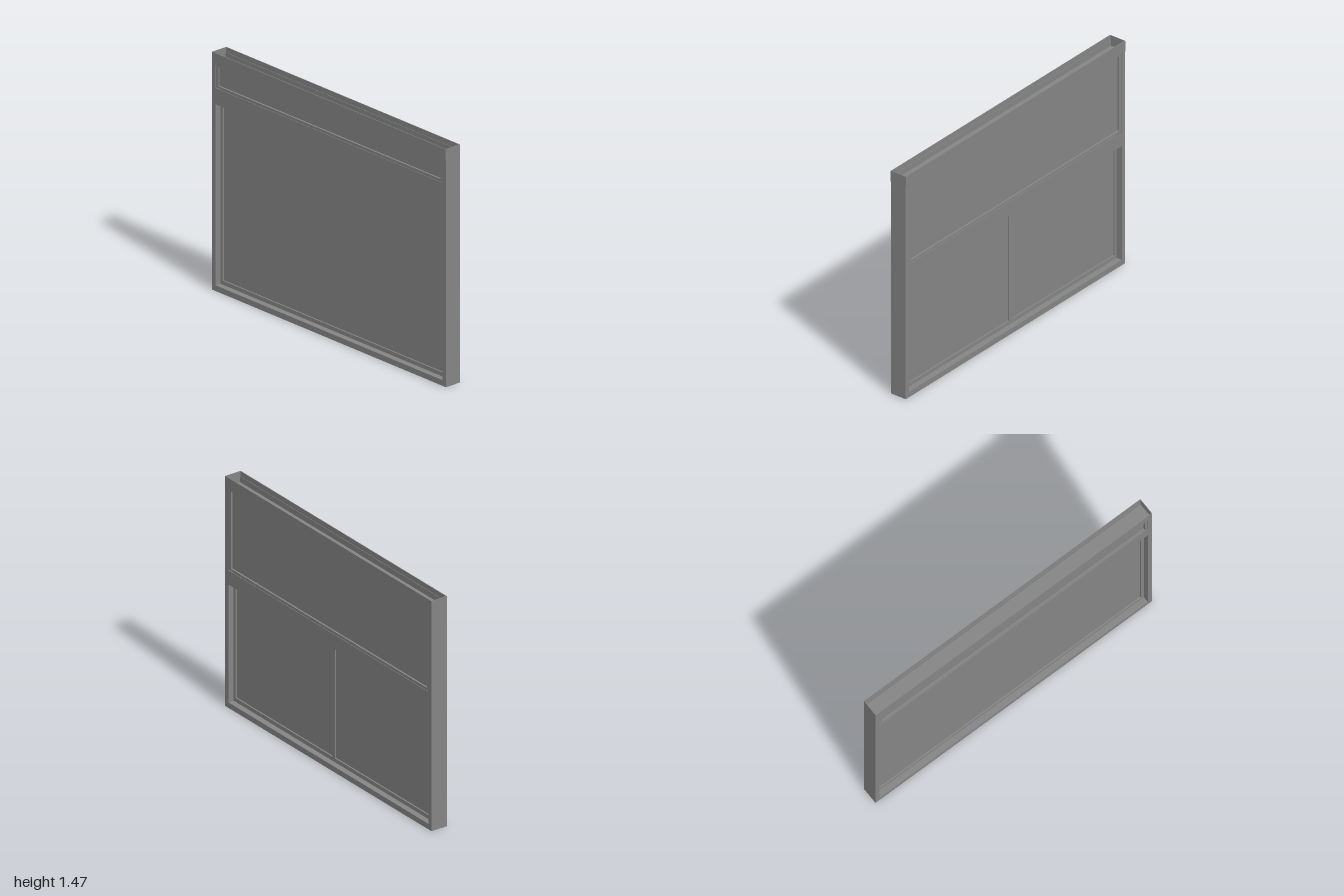
import * as THREE from 'three';

const HALF_DEPTH = 0.054, HEIGHT = 1.466, BODY = 1.396, SHEET = 0.003;
const OPEN = 0.97, PANE = 0.95, SILL = 0.035;

const material = new THREE.MeshStandardMaterial({ color: 0x858585, flatShading: true, side: THREE.DoubleSide });

// Rectangle [x0, y0, x1, y1] traced onto a shape or path
function trace(path, [x0, y0, x1, y1]) {
  path.moveTo(x0, y0);
  path.lineTo(x1, y0);
  path.lineTo(x1, y1);
  path.lineTo(x0, y1);
  path.closePath();
  return path;
}

// Flat slab with rectangular holes, from z0 to z1
function slab(name, outline, holes, z0, z1) {
  const shape = trace(new THREE.Shape(), outline);
  shape.holes = holes.map((h) => trace(new THREE.Path(), h));
  const geometry = new THREE.ExtrudeGeometry(shape, { depth: z1 - z0, bevelEnabled: false });
  const mesh = new THREE.Mesh(geometry, material);
  mesh.name = name;
  mesh.position.z = z0;
  return mesh;
}

function box(name, width, height, depth, x, y) {
  const mesh = new THREE.Mesh(new THREE.BoxGeometry(width, height, depth), material);
  mesh.name = name;
  mesh.position.set(x, y, 0);
  return mesh;
}

// One face of the hollow unit, built towards +z
function buildFace(name, railBottom, railTop, lowerPanes) {
  const face = new THREE.Group();
  face.name = name;
  const inner = HALF_DEPTH - SHEET;
  const lower = [-OPEN, SILL, OPEN, railBottom];
  const upper = [-OPEN, railTop, OPEN, 1.392];
  const revealOutline = [-OPEN - SHEET, SILL - SHEET, OPEN + SHEET, railBottom + SHEET];
  face.add(
    // Sheet skin with a lower and an upper opening
    slab('outerFrame', [-1, 0, 1, BODY], [lower, upper], inner, HALF_DEPTH),
    // Deep reveal lining the lower opening
    slab('lowerReveal', revealOutline, [lower], 0.017, inner),
    // Lower sash, set deep in the frame
    slab('lowerSash', [-OPEN, SILL, OPEN, BODY], lowerPanes, 0.008, 0.017),
    // Upper sash almost flush with the skin, with a narrow gap below it
    slab('upperSash', [-OPEN, railTop + 0.004, OPEN, 1.392],
      [[-PANE, railTop + 0.017, PANE, 1.385]], 0.038, 0.051),
    slab('upperPanel', upper, [], 0.03, 0.04),
    // Slightly proud band along the top, with a liner on its lower half
    slab('topBand', [-1, BODY, 1, HEIGHT], [], inner, HALF_DEPTH + 0.0015),
    slab('bandLiner', [-1, BODY, 1, 1.434], [], inner - SHEET, inner)
  );
  return face;
}

export function createModel() {
  const model = new THREE.Group();
  model.name = 'panelUnit';

  // Front: one wide lower pane
  model.add(buildFace('frontFace', 1.15, 1.25, [[-PANE, 0.06, PANE, 1.13]]));

  // Back: two lower panes split by a mullion
  const back = buildFace('backFace', 0.785, 0.876, [
    [-PANE, 0.06, -0.012, 0.765],
    [0.012, 0.06, PANE, 0.765],
  ]);
  back.rotation.y = Math.PI;
  model.add(back);

  // Core panel closing the lower openings, and the floor of the top channel
  model.add(slab('corePanel', [-OPEN, SILL, OPEN, BODY], [], -0.008, 0.008));
  model.add(box('channelFloor', 1.994, 0.004, 0.102, 0, BODY));

  // Side sheets, leaving the posts open at the bottom
  for (const side of [-1, 1]) {
    model.add(box(side > 0 ? 'leftSide' : 'rightSide', SHEET, HEIGHT, 2 * HALF_DEPTH,
      side * (1 - SHEET / 2), HEIGHT / 2));
  }
  return model;
}
